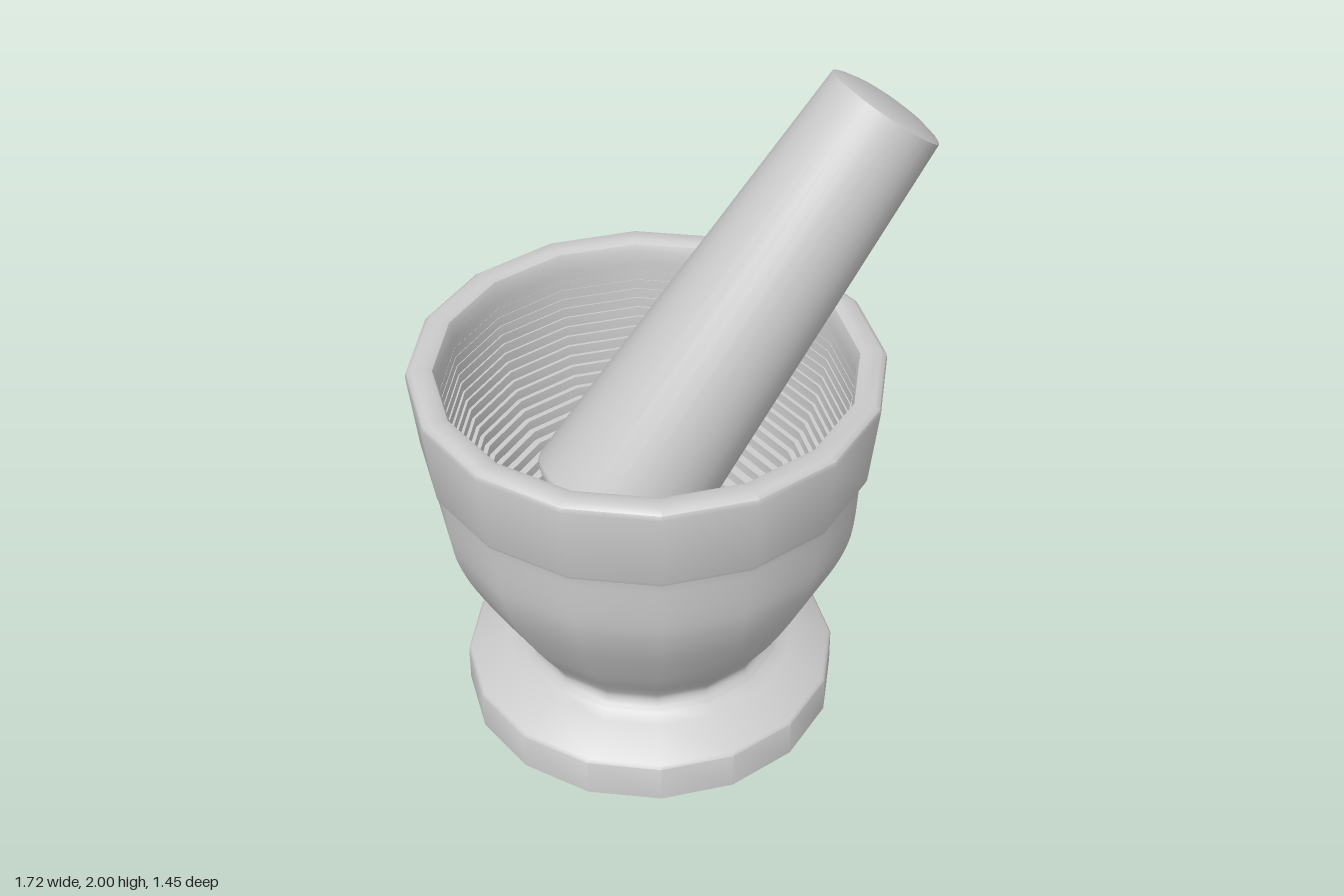
import * as THREE from 'three';
import { toCreasedNormals } from 'three/addons/utils/BufferGeometryUtils.js';

const material = new THREE.MeshStandardMaterial({ color: 0xcccccc });
const points = (list) => list.map(([x, y]) => new THREE.Vector2(x, y));

// Revolved part, smooth around but sharp at profile corners
function lathe(name, profile, sides, crease) {
  const geometry = toCreasedNormals(new THREE.LatheGeometry(profile, sides), crease);
  const mesh = new THREE.Mesh(geometry, material);
  mesh.name = name;
  return mesh;
}

function mortarProfile() {
  // Round foot
  const foot = points([[0, 0], [0.594, 0], [0.594, 0.125], [0.585, 0.135], [0.46, 0.185]]);
  // Waist and swelling outer wall
  const wall = new THREE.SplineCurve(points([
    [0.425, 0.205], [0.402, 0.24], [0.42, 0.285], [0.5, 0.405], [0.595, 0.58],
    [0.643, 0.7], [0.663, 0.8], [0.674, 0.95],
  ])).getPoints(28);
  // Raised band and rounded rim
  const rim = points([
    [0.676, 0.96], [0.692, 0.967], [0.697, 0.98], [0.727, 1.235], [0.724, 1.252], [0.708, 1.264],
    [0.665, 1.264], [0.645, 1.255], [0.637, 1.235],
  ]);
  // Hollow, cut in fine terraces down to the floor
  const hollow = [];
  const steps = 24, depth = 0.78, top = 1.225;
  const radiusAt = (i) => 0.635 * Math.sqrt(1 - (i / steps) ** 2);
  for (let i = 1; i < steps; i++) {
    const y = top - (depth * i) / steps;
    hollow.push(new THREE.Vector2(radiusAt(i - 1) - 0.001, y), new THREE.Vector2(radiusAt(i), y));
  }
  hollow.push(new THREE.Vector2(0, top - depth));
  return [...foot, ...wall, ...rim, ...hollow];
}

function pestleProfile() {
  const profile = [];
  // Domed grinding end
  for (let i = 0; i <= 8; i++) {
    const a = (i / 8) * Math.PI / 2;
    profile.push(new THREE.Vector2(0.27 * Math.sin(a), -0.08 * Math.cos(a)));
  }
  // Tapered handle with a slightly domed top
  profile.push(...points([
    [0.195, 1.5], [0.18, 1.507], [0.13, 1.519], [0.07, 1.526], [0, 1.528],
  ]));
  return profile;
}

export function createModel() {
  const group = new THREE.Group();
  group.name = 'mortarAndPestle';

  const mortar = lathe('mortar', mortarProfile(), 16, 0.75);
  mortar.position.x = -0.137;

  const pestle = lathe('pestle', pestleProfile(), 32, 0.6);
  pestle.position.set(-0.228, 0.7, -0.08);
  pestle.rotation.z = -0.669;

  group.add(mortar, pestle);
  return group;
}
